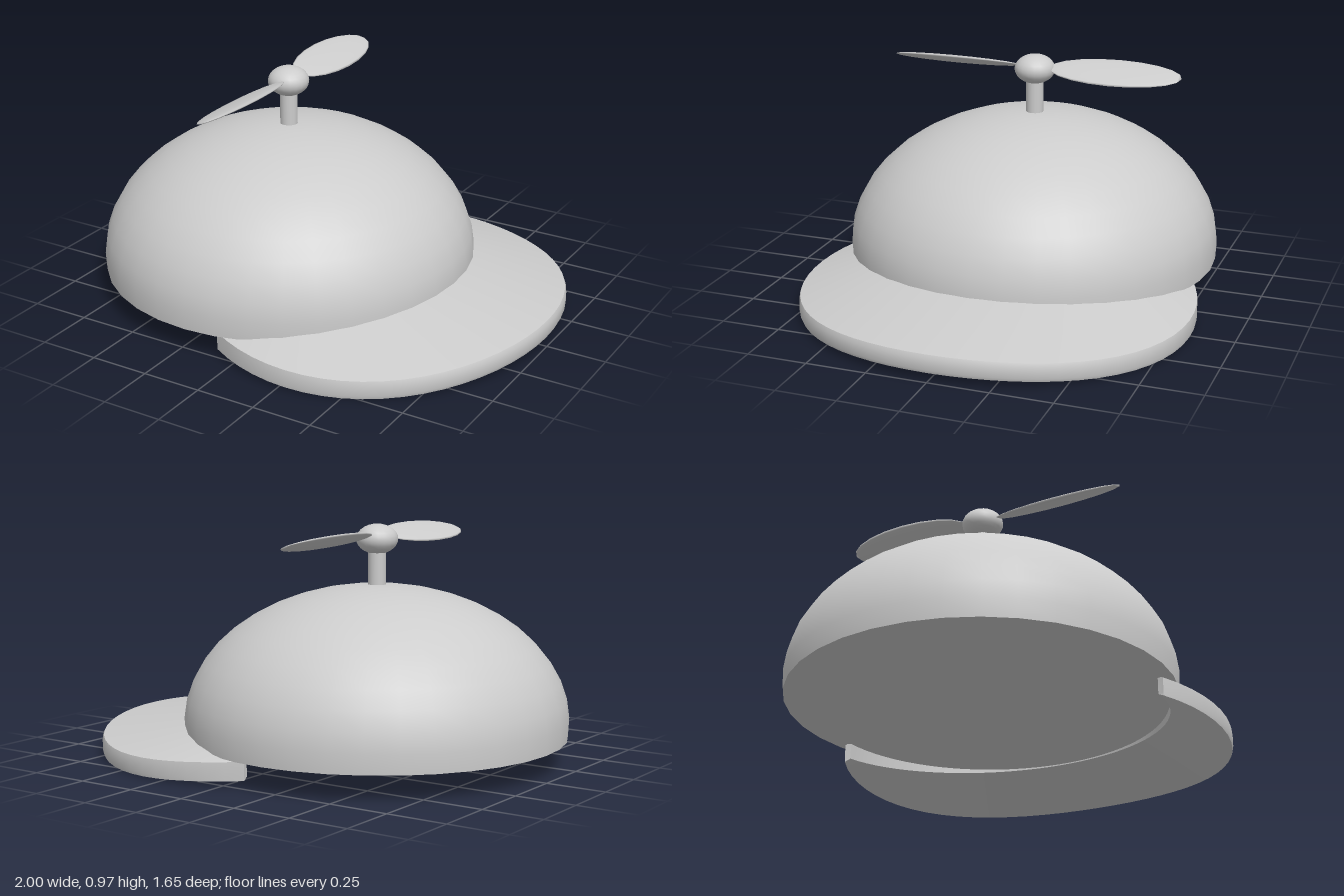
import * as THREE from 'three';
import { toCreasedNormals } from 'three/addons/utils/BufferGeometryUtils.js';

const CX = -0.21; // axis of the cap

// Crescent brim: cross-sections swept from one tip to the other
function brimGeometry() {
  const steps = 40, T = 0.075;
  const maxOuter = THREE.MathUtils.degToRad(117), maxInner = THREE.MathUtils.degToRad(80);
  // (share of the way from inner to outer edge, share of thickness), counter-clockwise
  const section = [[0, 0], [0.5, 0], [0.985, 0], [1, 0.2], [1, 0.8], [0.985, 1], [0.5, 1], [0, 1]];
  const n = section.length, pos = [], index = [];
  for (let i = 0; i <= steps; i++) {
    const t = (i / steps) * 2 - 1;
    const a = t * maxOuter, b = t * maxInner;
    const r = 0.68 + 0.1 * Math.sqrt(Math.cos(b));
    const inner = new THREE.Vector3(CX + r * Math.cos(b), 0.03 + 0.075 * Math.cos(b), r * Math.sin(b));
    const outer = new THREE.Vector3(0.25 + 0.75 * Math.cos(a), 0.002 + 0.037 * Math.cos(1.3 * a) ** 2, 0.825 * Math.sin(a));
    for (const [s, h] of section) {
      const p = inner.clone().lerp(outer, s);
      pos.push(p.x, p.y + h * T, p.z);
    }
  }
  for (let i = 0; i < steps; i++) {
    for (let j = 0; j < n; j++) {
      const k = (j + 1) % n, p = i * n, q = p + n;
      index.push(p + j, p + k, q + j, p + k, q + k, q + j);
    }
  }
  // tip caps
  for (let j = 1; j < n - 1; j++) {
    index.push(0, j + 1, j);
    index.push(steps * n, steps * n + j, steps * n + j + 1);
  }
  const geo = new THREE.BufferGeometry();
  geo.setAttribute('position', new THREE.Float32BufferAttribute(pos, 3));
  geo.setIndex(index);
  return toCreasedNormals(geo, 0.7);
}

// Domed crown with a flat underside
function crownGeometry() {
  const points = [new THREE.Vector2(0, 0.11)];
  const start = -Math.asin(0.06 / 0.56), steps = 12;
  for (let i = 0; i <= steps; i++) {
    const a = start + (Math.PI / 2 - start) * (i / steps);
    points.push(new THREE.Vector2(i === steps ? 0 : 0.79 * Math.cos(a), 0.17 + 0.56 * Math.sin(a)));
  }
  return toCreasedNormals(new THREE.LatheGeometry(points, 36), 0.7);
}

export function createModel() {
  const model = new THREE.Group();
  model.name = 'propellerCap';
  const grey = new THREE.MeshStandardMaterial({ color: 0xcccccc });
  grey.name = 'light grey';

  function add(name, geometry, parent = model, x = 0, y = 0, z = 0) {
    const mesh = new THREE.Mesh(geometry, grey);
    mesh.name = name;
    mesh.position.set(x, y, z);
    parent.add(mesh);
    return mesh;
  }

  add('crown', crownGeometry(), model, CX);
  add('brim', brimGeometry());

  // Propeller on its post
  const propeller = new THREE.Group();
  propeller.name = 'propeller';
  propeller.position.set(CX, 0, 0);
  model.add(propeller);
  add('post', new THREE.CylinderGeometry(0.037, 0.037, 0.18, 16), propeller, 0, 0.8, 0);
  add('hub', new THREE.SphereGeometry(0.086, 20, 14).scale(1, 0.72, 1), propeller, 0, 0.914, 0);

  // Two pitched blades, one turned half way round from the other
  for (const [name, turn] of [['frontBlade', 0], ['backBlade', Math.PI]]) {
    const blade = new THREE.SphereGeometry(1, 16, 10)
      .rotateX(Math.PI / 2)
      .scale(0.095, 0.012, 0.285)
      .rotateZ(0.37)
      .translate(0, 0, 0.35)
      .rotateY(turn);
    add(name, blade, propeller, 0, 0.925, 0);
  }
  return model;
}
